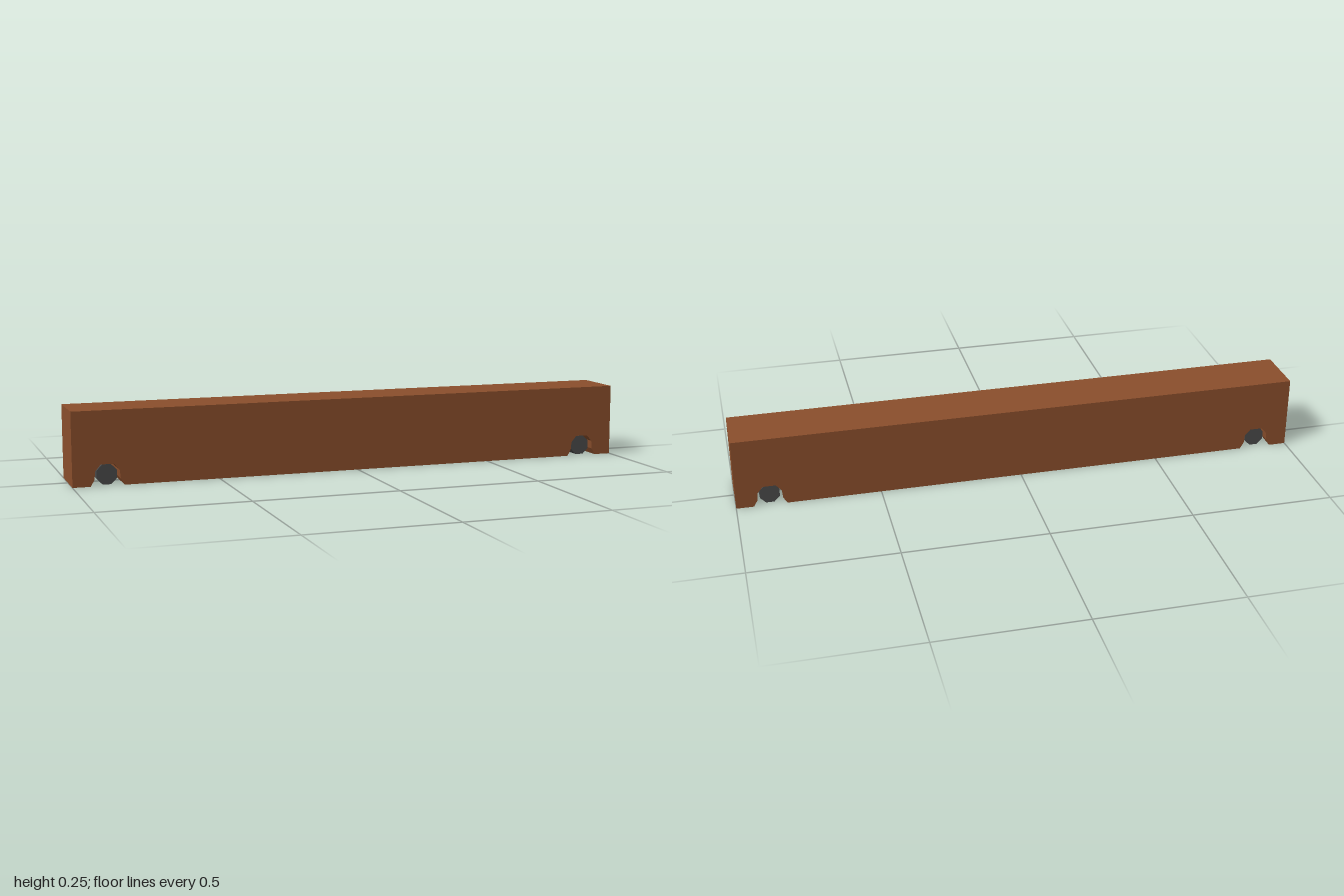
import * as THREE from 'three';

const brown = new THREE.MeshStandardMaterial({ name: 'brown', color: 0x8b4f2c, flatShading: true });
const darkGrey = new THREE.MeshStandardMaterial({ name: 'darkGrey', color: 0x4a4a4a, flatShading: true });

const LENGTH = 2, HEIGHT = 0.254, DEPTH = 0.19, AXLE_X = 0.883, AXLE_Y = 0.036;

// Half outline of an arch, from its foot to its top
const arch = [[0.057, 0], [0.044, 0.022], [0.041, 0.051], [0.022, 0.073]];

export function createModel() {
  const group = new THREE.Group();
  group.name = 'beamOnRollers';

  // Beam with an arch cut out above each roller
  const shape = new THREE.Shape();
  shape.moveTo(-LENGTH / 2, HEIGHT);
  shape.lineTo(-LENGTH / 2, 0);
  for (const x of [-AXLE_X, AXLE_X]) {
    for (const [dx, y] of arch) shape.lineTo(x - dx, y);
    for (const [dx, y] of [...arch].reverse()) shape.lineTo(x + dx, y);
  }
  shape.lineTo(LENGTH / 2, 0);
  shape.lineTo(LENGTH / 2, HEIGHT);
  shape.closePath();
  const bodyGeometry = new THREE.ExtrudeGeometry(shape, { depth: DEPTH, bevelEnabled: false });
  bodyGeometry.translate(0, 0, -DEPTH / 2);
  const body = new THREE.Mesh(bodyGeometry, brown);
  body.name = 'body';
  group.add(body);

  // Eight-sided rollers, slightly recessed in the arches
  const rollerGeometry = new THREE.CylinderGeometry(0.037, 0.037, 0.16, 8);
  rollerGeometry.rotateY(Math.PI / 8).rotateX(Math.PI / 2);
  for (const side of [-1, 1]) {
    const roller = new THREE.Mesh(rollerGeometry, darkGrey);
    roller.name = side > 0 ? 'leftRoller' : 'rightRoller';
    roller.position.set(side * AXLE_X, AXLE_Y, 0);
    group.add(roller);
  }
  return group;
}
